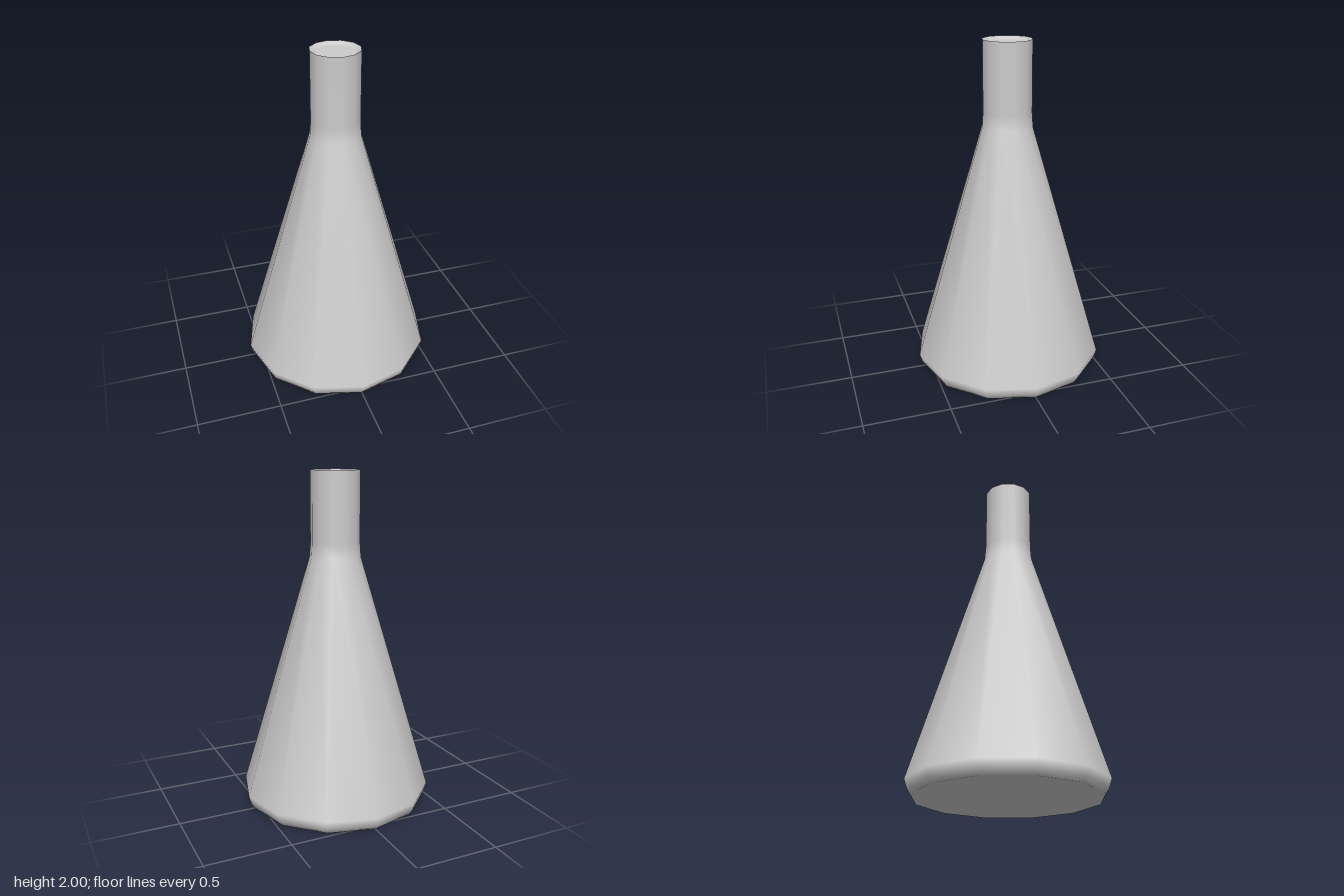
import * as THREE from 'three';

const SIDES = 12;
const material = new THREE.MeshStandardMaterial({ color: 0xcccccc, side: THREE.DoubleSide });

// Turned part from [radius, height] pairs, smooth along its profile
function turned(name, profile) {
  const points = profile.map(([r, y]) => new THREE.Vector2(r, y));
  const mesh = new THREE.Mesh(new THREE.LatheGeometry(points, SIDES), material);
  mesh.name = name;
  return mesh;
}

export function createModel() {
  const group = new THREE.Group();
  group.name = 'flask';

  // Closed base, rounded foot, conical body and straight neck
  group.add(turned('body', [
    [0, 0], [0.54, 0], [0.56, 0.03], [0.575, 0.08],
    [0.152, 1.5], [0.146, 1.59], [0.145, 2],
  ]));

  // Lip sloping slightly inward
  group.add(turned('lip', [[0.145, 2], [0.115, 1.983]]));

  // Flat disc closing the mouth
  group.add(turned('mouth', [[0.115, 1.983], [0, 1.983]]));

  return group;
}
